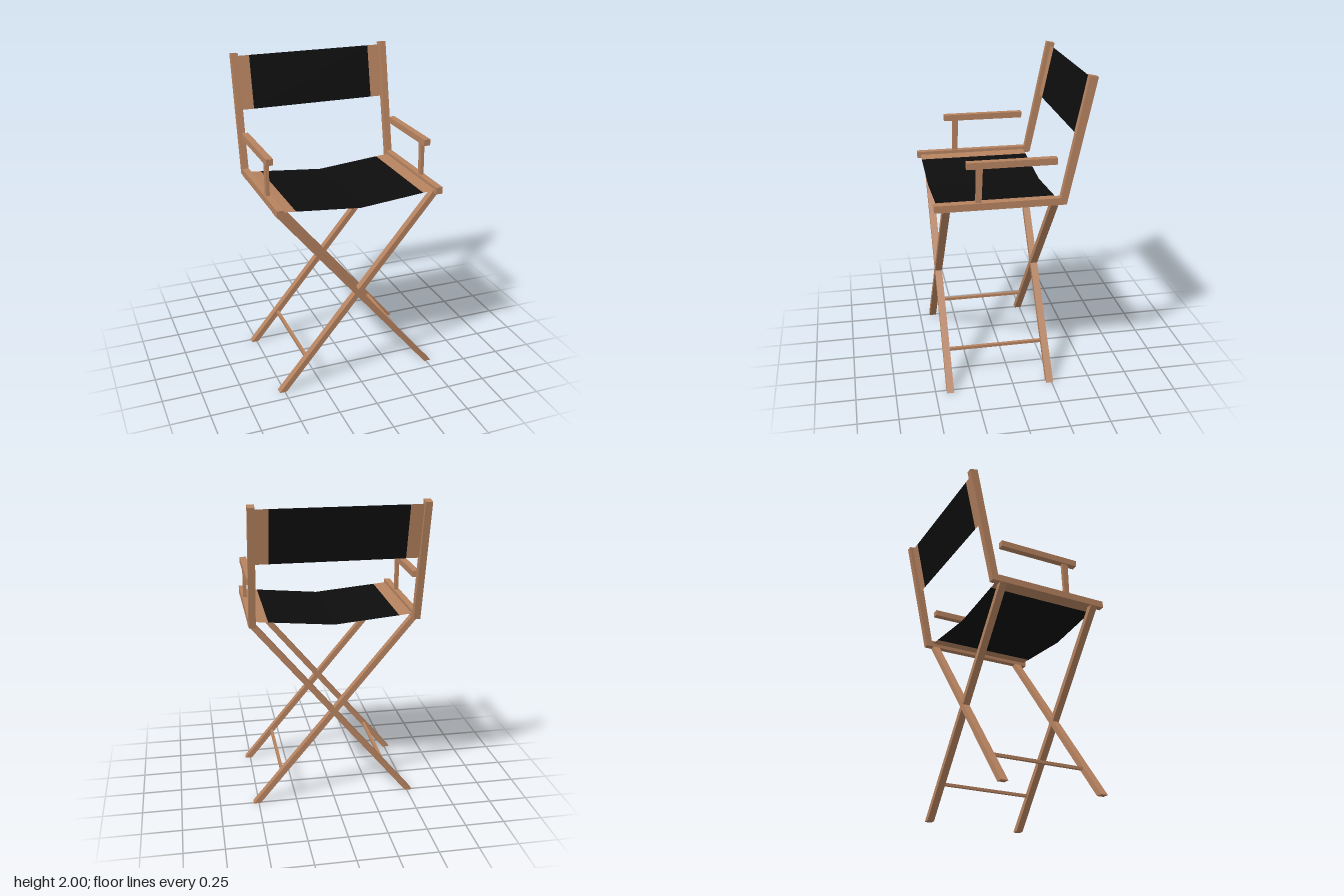
import * as THREE from 'three';

const wood = new THREE.MeshStandardMaterial({ color: 0xb5825f });
wood.name = 'wood';
const tanCloth = new THREE.MeshStandardMaterial({ color: 0xb5825f, side: THREE.DoubleSide });
tanCloth.name = 'tan cloth';
const blackCloth = new THREE.MeshStandardMaterial({ color: 0x0d0d0d, side: THREE.DoubleSide });
blackCloth.name = 'black cloth';

export function createModel() {
  const chair = new THREE.Group();
  chair.name = 'foldingChair';

  const add = (name, geometry, material = wood) => {
    const mesh = new THREE.Mesh(geometry, material);
    mesh.name = name;
    chair.add(mesh);
    return mesh;
  };

  // Box given by its minimum and maximum on each axis
  const bar = (name, x0, x1, y0, y1, z0, z1) =>
    add(name, new THREE.BoxGeometry(x1 - x0, y1 - y0, z1 - z0))
      .position.set((x0 + x1) / 2, (y0 + y1) / 2, (z0 + z1) / 2);

  // Outline in the xy plane, extruded along z
  const slab = (points, depth) => new THREE.ExtrudeGeometry(
    new THREE.Shape(points.map(([x, y]) => new THREE.Vector2(x, y))),
    { depth, bevelEnabled: false });

  // Outline of [z, y] points, extruded along x from x0 to x1
  const sideSlab = (points, x0, x1) =>
    slab(points.map(([z, y]) => [-z, y]), x1 - x0).rotateY(Math.PI / 2).translate(x0, 0, 0);

  // Single cloth panel through four corners in order
  const panel = (name, corners, material) => {
    const g = new THREE.BufferGeometry();
    g.setAttribute('position', new THREE.Float32BufferAttribute(corners.flat(), 3));
    g.setIndex([0, 1, 2, 0, 2, 3]);
    g.computeVertexNormals();
    add(name, g, material);
  };

  const seatY = x => 1.21 + 0.045 * Math.abs(x) / 0.49;
  const seatPanel = (name, x0, x1, material) => panel(name, [
    [x0, seatY(x0), 0.455], [x1, seatY(x1), 0.455],
    [x1, seatY(x1), -0.265], [x0, seatY(x0), -0.265]], material);
  const backPanel = (name, x0, x1, material) => panel(name, [
    [x0, 1.64, -0.376], [x1, 1.64, -0.376],
    [x1, 1.975, -0.448], [x0, 1.975, -0.448]], material);

  for (const s of [1, -1]) {
    const side = s > 0 ? 'left' : 'right';
    const [x0, x1] = s > 0 ? [0.49, 0.532] : [-0.532, -0.49];

    // Crossed legs, cut level at the floor and under the seat rails
    for (const [end, z] of [['Front', 0.385], ['Back', -0.26]]) {
      const outline = [[-0.534, 0], [-0.488, 0], [0.534, 1.232], [0.488, 1.232]];
      add(side + end + 'Leg', slab(outline.map(([x, y]) => [x * s, y]), 0.045).translate(0, 0, z));
    }
    bar(side + 'FootRail', s * 0.34 - 0.01, s * 0.34 + 0.01, 0.195, 0.213, -0.22, 0.39);

    // Seat rail and raked back post
    bar(side + 'SeatRail', x0, x1, 1.232, 1.275, -0.275, 0.475);
    add(side + 'BackPost', sideSlab(
      [[-0.268, 1.232], [-0.312, 1.232], [-0.474, 1.99], [-0.423, 2]], x0, x1));

    // Armrest on a slightly tapered support
    bar(side + 'Armrest', x0, x1, 1.485, 1.525, -0.25, 0.285);
    add(side + 'ArmSupport', sideSlab(
      [[0.232, 1.27], [0.198, 1.27], [0.188, 1.49], [0.228, 1.49]], x0 + 0.01, x1 - 0.01));

    // Sagging seat cloth and back cloth, in halves
    const [inner, outer] = [s * 0.41, s * 0.492];
    const span = (a, b) => [Math.min(a, b), Math.max(a, b)];
    seatPanel(side + 'SeatCloth', ...span(0, inner), blackCloth);
    seatPanel(side + 'SeatBand', ...span(inner, outer), tanCloth);
    backPanel(side + 'BackBand', ...span(inner, outer), tanCloth);
  }
  backPanel('backCloth', -0.41, 0.41, blackCloth);

  return chair;
}
